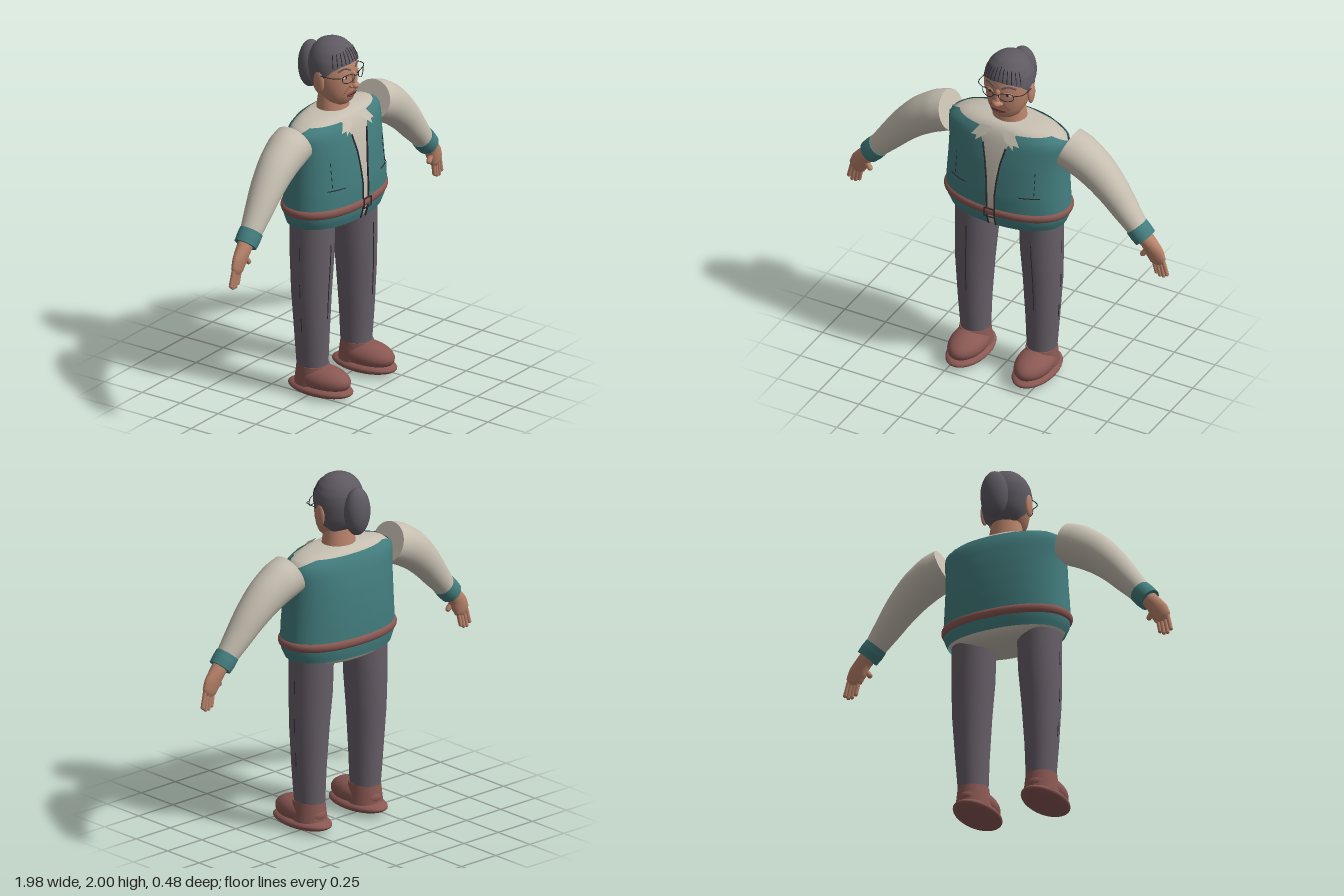
import * as THREE from 'three';
import { toCreasedNormals } from 'three/addons/utils/BufferGeometryUtils.js';

const mat = (name, color, side = THREE.FrontSide) => {
  const m = new THREE.MeshStandardMaterial({ color, side });
  m.name = name;
  return m;
};
const V = (x, y, z) => new THREE.Vector3(x, y, z);

// Cross-sections: [y, half width, centre z, half depth, centre x]
const TORSO = [
  [0.959, 0.001, -0.03, 0.001], [0.96, 0.17, -0.03, 0.12], [0.975, 0.26, -0.025, 0.155], [1.0, 0.325, -0.018, 0.178],
  [1.05, 0.347, -0.015, 0.191], [1.1, 0.352, -0.015, 0.195], [1.2, 0.346, -0.015, 0.195], [1.3, 0.34, -0.018, 0.188],
  [1.4, 0.337, -0.02, 0.178], [1.5, 0.345, -0.022, 0.16], [1.54, 0.342, -0.022, 0.148], [1.57, 0.305, -0.022, 0.135],
  [1.59, 0.235, -0.022, 0.12], [1.605, 0.15, -0.022, 0.1], [1.61, 0.001, -0.022, 0.001],
];
const HEAD = [
  [1.635, 0.001, 0.03, 0.001], [1.64, 0.05, 0.03, 0.04], [1.66, 0.08, 0.02, 0.07], [1.7, 0.105, 0.002, 0.1],
  [1.75, 0.122, -0.01, 0.118], [1.8, 0.128, -0.015, 0.125], [1.85, 0.13, -0.02, 0.127], [1.9, 0.122, -0.025, 0.12],
  [1.94, 0.1, -0.027, 0.1], [1.97, 0.068, -0.03, 0.07], [1.985, 0.035, -0.03, 0.035], [1.99, 0.0005, -0.03, 0.0005],
];
const LEG = [
  [0.13, 0.08, -0.015, 0.086, 0.203], [0.35, 0.092, -0.015, 0.098, 0.208], [0.6, 0.108, -0.018, 0.112, 0.208],
  [0.8, 0.118, -0.02, 0.122, 0.2], [1.03, 0.121, -0.02, 0.125, 0.195],
];

// Interpolates a table of rows by its first column
function at(rows, key) {
  let i = 0;
  while (i < rows.length - 2 && rows[i + 1][0] < key) i++;
  const f = THREE.MathUtils.clamp((key - rows[i][0]) / (rows[i + 1][0] - rows[i][0]), 0, 1);
  return rows[i].map((v, k) => v + (rows[i + 1][k] - v) * f);
}
// Point on a body section; angle 0 is the front, turning towards +x
function skinPoint(rows, y, a, off = 0, n = 2) {
  const [, rx, zc, rz, cx = 0] = at(rows, y);
  const p = (v) => Math.sign(v) * Math.abs(v) ** (2 / n);
  return V(cx + (rx + off) * p(Math.sin(a)), y, zc + (rz + off) * p(Math.cos(a)));
}
const torsoPoint = (y, a, off) => skinPoint(TORSO, y, a, off, 2.2);
// Point on the front of a body at a given x
function frontPoint(rows, x, y, off, n = 2) {
  const [, rx, zc, rz, cx = 0] = at(rows, y);
  const s = Math.min(Math.abs(x - cx) / (rx + off), 1);
  return V(x, y, zc + (rz + off) * (1 - s ** n) ** (1 / n));
}

// Surface from a grid of points fn(u, v)
function grid(nu, nv, fn) {
  const pos = [], idx = [];
  for (let j = 0; j <= nv; j++) for (let i = 0; i <= nu; i++) pos.push(...fn(i / nu, j / nv).toArray());
  for (let j = 0; j < nv; j++) for (let i = 0; i < nu; i++) {
    const a = j * (nu + 1) + i, d = a + nu + 1;
    idx.push(a, a + 1, d + 1, a, d + 1, d);
  }
  const g = new THREE.BufferGeometry();
  g.setAttribute('position', new THREE.Float32BufferAttribute(pos, 3));
  g.setIndex(idx);
  g.scale(100, 100, 100);
  return toCreasedNormals(g, 0.9).scale(0.01, 0.01, 0.01);
}
const loft = (rows, n) => grid(48, rows.length - 1, (u, v) =>
  skinPoint(rows, rows[Math.round(v * (rows.length - 1))][0], u * Math.PI * 2, 0, n));

// Capped limb along a path in the x-y plane; rows are [x, y, z, half width, half depth]
function sweep(rows, steps = 20) {
  const curve = new THREE.CatmullRomCurve3(rows.map((r) => V(r[0], r[1], r[2])));
  const keyed = rows.map((r, i) => [i / (rows.length - 1), r[3], r[4]]);
  return grid(32, steps + 2, (u, v) => {
    const j = Math.round(v * (steps + 2)), t = THREE.MathUtils.clamp((j - 1) / steps, 0, 1);
    const cap = j === 0 || j === steps + 2 ? 0.001 : 1;
    const [, rs, rc] = at(keyed, t), c = V(0, 0, 1), s = curve.getTangent(t).cross(c).normalize();
    return curve.getPoint(t).addScaledVector(s, rs * cap * Math.sin(u * 2 * Math.PI))
      .addScaledVector(c, rc * cap * Math.cos(u * 2 * Math.PI));
  });
}
const line = (pts, r, closed = false) =>
  new THREE.TubeGeometry(new THREE.CatmullRomCurve3(pts, closed), Math.max(12, pts.length * 3), r, 6, closed);
const steps = (n, fn) => Array.from({ length: n + 1 }, (_, i) => fn(i / n));

export function createModel() {
  const M = {
    skin: mat('skin', 0xb9836b), hair: mat('hair', 0x5f5a62), shirt: mat('shirt cream', 0xc6bfb1, THREE.DoubleSide),
    vest: mat('vest teal', 0x437d7e, THREE.DoubleSide), trousers: mat('trousers', 0x665e67), leather: mat('leather', 0x8a5853),
    dark: mat('dark trim', 0x2c2a2e), lip: mat('lip', 0x8c4a42), eye: mat('eye white', 0xd8cfc2),
  };
  const root = new THREE.Group();
  const add = (parent, name, geo, m) => {
    const mesh = new THREE.Mesh(geo, m);
    mesh.name = name;
    parent.add(mesh);
    return mesh;
  };
  const ball = (parent, name, m, p, r) => {
    const b = add(parent, name, new THREE.SphereGeometry(1, 28, 20), m);
    b.position.set(...p);
    b.scale.set(...r);
    return b;
  };
  const rod = (parent, name, m, a, b, r) => {
    const p = V(...a), d = V(...b).sub(p);
    const c = add(parent, name, new THREE.CapsuleGeometry(r, d.length(), 6, 12), m);
    c.position.copy(p).addScaledVector(d, 0.5);
    c.quaternion.setFromUnitVectors(V(0, 1, 0), d.normalize());
    return c;
  };

  // Torso, vest and belt
  add(root, 'shirtBody', loft(TORSO, 2.2), M.shirt);
  const opening = [[1.0, 0.022], [1.2, 0.024], [1.3, 0.032], [1.4, 0.046], [1.5, 0.07], [1.58, 0.11]];
  const gap = (y) => at(opening, y)[1];
  add(root, 'vest', grid(72, 24, (u, v) => {
    const a0 = u * 2 * Math.PI;
    const top = 1.53 + 0.047 * Math.min(1, Math.abs(Math.cos(a0)) * 2);
    const y = 1.0 + v * (top - 1.0);
    const edge = Math.asin((gap(y) / at(TORSO, y)[1]) ** 1.1);
    return torsoPoint(y, edge + u * (2 * Math.PI - 2 * edge), 0.012);
  }), M.vest);
  add(root, 'belt', grid(72, 8, (u, v) =>
    torsoPoint(1.065 + 0.052 * v, u * 2 * Math.PI, 0.01 + 0.014 * Math.sqrt(Math.sin(Math.PI * v)))), M.leather);
  const buckle = [[-0.032, 1.066], [0.032, 1.066], [0.032, 1.118], [-0.032, 1.118]].map(([x, y]) => V(x, y, 0.205));
  buckle.forEach((p, i) => rod(root, 'buckle', M.dark, p.toArray(), buckle[(i + 1) % 4].toArray(), 0.004));

  // Neck and head
  const neck = add(root, 'neck', new THREE.CylinderGeometry(0.085, 0.102, 0.12, 36), M.skin);
  neck.position.set(0, 1.635, -0.025);
  neck.scale.z = 0.87;
  add(root, 'head', loft(HEAD), M.skin);
  const hairPoint = (y, a, off) => {
    const p = skinPoint(HEAD, y, a, off);
    p.y += off * THREE.MathUtils.clamp((y - 1.9) / 0.09, 0, 1);
    if (y > 1.989) p.set(0, p.y, -0.03);
    return p;
  };
  const hairline = [[0, 1.888], [0.6, 1.878], [1.0, 1.855], [1.4, 1.81], [1.8, 1.73], [2.3, 1.69], [3.15, 1.68]];
  add(root, 'hairCap', grid(64, 18, (u, v) => {
    const a = u * 2 * Math.PI, low = at(hairline, Math.min(a, 2 * Math.PI - a))[1];
    return hairPoint(1.99 - (1.99 - low) * (1 - v) ** 1.6, a, 0.01);
  }), M.hair);
  ball(root, 'hairBun', M.hair, [0, 1.815, -0.172], [0.078, 0.135, 0.064]);
  for (let i = -5; i <= 5; i++) {
    const a = i * 0.19;
    add(root, 'hairStrand', line(steps(5, (t) => hairPoint(1.89 - 0.02 * Math.abs(a) + t * 0.065, a, 0.01)), 0.0024), M.dark);
  }

  // Middle of the face
  rod(root, 'noseBridge', M.skin, [0, 1.825, 0.108], [0, 1.765, 0.122], 0.014);
  ball(root, 'noseTip', M.skin, [0, 1.757, 0.124], [0.024, 0.019, 0.023]);
  const mouth = (y, dip, off) => steps(6, (t) => frontPoint(HEAD, (t - 0.5) * 0.084, y + dip * (2 * t - 1) ** 2, off));
  add(root, 'upperLip', line(mouth(1.71, -0.008, 0.002), 0.006), M.lip);
  add(root, 'lowerLip', line(mouth(1.693, 0.009, 0.002), 0.006), M.lip);
  add(root, 'mouthLine', line(mouth(1.702, 0.001, 0.006), 0.0028), M.dark);
  rod(root, 'glassesBridge', M.dark, [-0.017, 1.818, 0.13], [0.017, 1.818, 0.13], 0.0025);

  // Paired parts, built on the left and mirrored
  const side = (name) => {
    const s = new THREE.Group();
    s.name = name;
    root.add(s);

    // Eye, brow, cheek line, ear and glasses
    const e = frontPoint(HEAD, 0.054, 1.812, -0.004).toArray();
    ball(s, 'eye', M.eye, e, [0.021, 0.011, 0.009]);
    ball(s, 'pupil', M.dark, [e[0], e[1], e[2] + 0.007], [0.008, 0.009, 0.004]);
    const arc = (x0, x1, y, h, off) => steps(5, (t) => frontPoint(HEAD, x0 + (x1 - x0) * t, y + h * Math.sin(Math.PI * t), off));
    add(s, 'eyelid', line(arc(0.03, 0.08, 1.816, 0.009, 0.003), 0.004), M.skin);
    add(s, 'brow', line(arc(0.022, 0.092, 1.848, 0.014, 0.002), 0.005), M.hair);
    add(s, 'smileLine', line(steps(4, (t) => frontPoint(HEAD, 0.028 + 0.03 * t, 1.755 - 0.045 * t, 0)), 0.002), M.lip);
    ball(s, 'nostril', M.skin, [0.021, 1.754, 0.113], [0.011, 0.01, 0.014]);
    ball(s, 'ear', M.skin, [0.134, 1.785, -0.022], [0.015, 0.064, 0.034]);
    const rim = [[0.018, 0.8], [0.018, 1.6], [0.055, 2], [0.092, 1.6], [0.092, 0.4], [0.055, 0]]
      .map(([x, k]) => V(x, 1.788 + k * 0.024, 0.133 - x * x * 3));
    add(s, 'glassesRim', line(rim, 0.0022, true), M.dark);
    add(s, 'glassesArm', line([V(0.092, 1.822, 0.107), V(0.135, 1.828, 0.08), V(0.142, 1.825, -0.02)], 0.0024), M.dark);

    // Shirt collar and vest details
    const flap = new THREE.ShapeGeometry(new THREE.Shape(
      [[0.03, 1.592], [0.1, 1.588], [0.148, 1.525], [0.112, 1.53], [0.118, 1.5], [0.06, 1.545]].map((p) => new THREE.Vector2(...p))));
    const fp = flap.attributes.position;
    for (let i = 0; i < fp.count; i++) fp.setZ(i, frontPoint(TORSO, fp.getX(i), fp.getY(i), 0.022, 2.2).z);
    flap.computeVertexNormals();
    add(s, 'collar', flap, M.shirt);
    const seam = (label, x0, y0, x1, y1, r) => add(s, label, line(steps(8, (t) =>
      frontPoint(TORSO, x0 + (x1 - x0) * t, y0 + (y1 - y0) * t, 0.014, 2.2)), r), M.dark);
    add(s, 'vestPiping', line(steps(16, (t) => {
      const y = 1.0 + 0.5 * t;
      return frontPoint(TORSO, gap(y), y, 0.013, 2.2);
    }), 0.005), M.dark);
    add(s, 'pocket', grid(8, 4, (u, v) => frontPoint(TORSO, 0.17 + 0.1 * u, 1.122 + 0.1 * v, 0.018, 2.2)), M.vest);
    seam('pocketSeam', 0.16, 1.222, 0.27, 1.224, 0.003);
    for (let i = 0; i < 4; i++) seam('vestStitch', 0.24, 1.24 + i * 0.04, 0.241, 1.262 + i * 0.04, 0.0025);

    // Sleeve, cuff and hand
    add(s, 'sleeve', sweep([
      [0.362, 1.508, -0.025, 0.112, 0.118], [0.43, 1.482, -0.024, 0.116, 0.116], [0.53, 1.422, -0.02, 0.108, 0.105],
      [0.63, 1.333, -0.014, 0.092, 0.092], [0.72, 1.23, -0.007, 0.076, 0.076], [0.81, 1.125, 0, 0.058, 0.058],
    ]), M.shirt);
    add(s, 'cuff', sweep([[0.792, 1.146, 0, 0.064, 0.066], [0.82, 1.115, 0, 0.066, 0.067], [0.847, 1.086, 0, 0.063, 0.064]], 8), M.vest);
    add(s, 'palm', sweep([
      [0.825, 1.11, 0, 0.045, 0.045], [0.87, 1.06, 0, 0.046, 0.04], [0.903, 1.01, 0, 0.055, 0.031],
      [0.925, 0.965, 0, 0.049, 0.022], [0.935, 0.943, 0, 0.025, 0.012],
    ], 16), M.skin);
    [[0.896, 0.965, 0.913, 0.885], [0.918, 0.955, 0.935, 0.872], [0.94, 0.955, 0.957, 0.872], [0.957, 0.968, 0.977, 0.888]]
      .forEach(([x0, y0, x1, y1]) => rod(s, 'finger', M.skin, [x0, y0, 0], [x1, y1, -0.004], 0.0115));
    rod(s, 'thumb', M.skin, [0.872, 1.035, 0.008], [0.838, 0.988, 0.014], 0.015);

    // Trouser leg with seams
    add(s, 'trouserLeg', loft(LEG), M.trousers);
    add(s, 'frontCrease', line(steps(8, (t) => skinPoint(LEG, 0.45 + 0.43 * t, 0, 0)), 0.003), M.dark);
    for (const y of [0.38, 0.58, 0.8])
      add(s, 'sideSeam', line(steps(3, (t) => skinPoint(LEG, y + 0.08 * t, Math.PI / 2, 0)), 0.003), M.dark);

    // Shoe
    ball(s, 'sole', M.leather, [0.204, 0.041, 0.04], [0.113, 0.041, 0.201]);
    ball(s, 'shoeUpper', M.leather, [0.204, 0.095, 0.055], [0.1, 0.078, 0.172]);
    const ankle = add(s, 'shoeCollar', new THREE.CylinderGeometry(0.084, 0.096, 0.11, 32), M.leather);
    ankle.position.set(0.204, 0.115, -0.01);
    ankle.scale.z = 1.1;
    return s;
  };
  side('leftSide');
  side('rightSide').scale.x = -1;
  return root;
}
